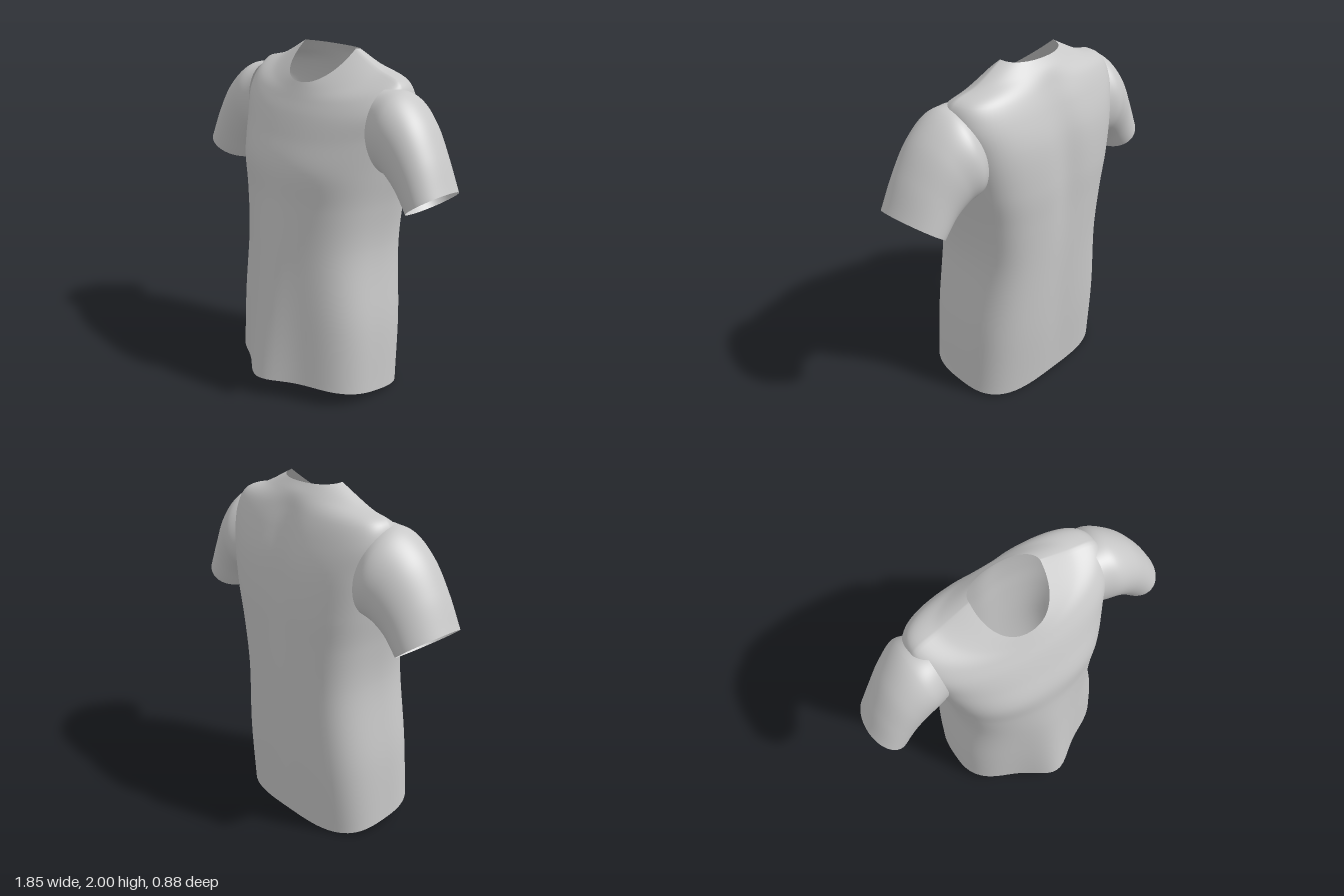
import * as THREE from 'three';

const SEG = 96;

// Smooth surface through closed rings of points, splined lengthwise.
function loft(rings, steps, material, name) {
  const pos = [], idx = [];
  for (let i = 0; i < SEG; i++) {
    const curve = new THREE.CatmullRomCurve3(rings.map((r) => r[i]));
    for (let j = 0; j <= steps; j++) pos.push(...curve.getPoint(j / steps).toArray());
  }
  const row = steps + 1;
  for (let i = 0; i < SEG; i++) {
    for (let j = 0; j < steps; j++) {
      const a = i * row + j, b = ((i + 1) % SEG) * row + j;
      idx.push(a, b, b + 1, a, b + 1, a + 1);
    }
  }
  const geo = new THREE.BufferGeometry();
  geo.setAttribute('position', new THREE.Float32BufferAttribute(pos, 3));
  geo.setIndex(idx);
  geo.computeVertexNormals();
  const mesh = new THREE.Mesh(geo, material);
  mesh.name = name;
  return mesh;
}

function ring(pointAt) {
  return Array.from({ length: SEG }, (_, i) => pointAt((i / SEG) * Math.PI * 2));
}

// Torso ring: rounded outline, fuller at the back, with a draped front ridge and a spine groove.
function torsoRing([w, sideY, sideZ, frontY, frontZ, backY, backZ, power, ridge, groove]) {
  return ring((t) => {
    const s = Math.sin(t), c = Math.cos(t), front = c >= 0;
    const n = front ? power : power + (w > 0.4 ? 0.9 : 0);
    const r = Math.pow(Math.abs(s) ** n + Math.abs(c) ** n, -1 / n);
    const x = w * s * r, k = Math.abs(c) * r;
    const y = sideY + ((front ? frontY : backY) - sideY) * k;
    let z = sideZ + ((front ? frontZ : backZ) - sideZ) * k;
    z += front ? ridge * Math.exp(-((x / 0.17) ** 2)) : groove * Math.exp(-((x / 0.1) ** 2));
    return new THREE.Vector3(x, y, z);
  });
}

// Sleeve ring: ellipse between an upper and a lower point, with a depth in z.
function sleeveRing([topX, topY, lowX, lowY, midZ, halfZ], side) {
  return ring((t) => {
    const c = Math.cos(t), k = (1 + c) / 2;
    return new THREE.Vector3(
      side * (lowX + (topX - lowX) * k),
      lowY + (topY - lowY) * k,
      midZ + 0.03 * c - side * halfZ * Math.sin(t)
    );
  });
}

export function createModel() {
  const fabric = new THREE.MeshStandardMaterial({ color: 0xc8c8c8, side: THREE.DoubleSide });
  fabric.name = 'grey fabric';
  const shirt = new THREE.Group();
  shirt.name = 'tShirt';

  // Body, from the slanted hem over the chest and shoulders to the neckline
  const torso = [
    [0.505, 0.05, -0.02, 0.11, 0.31, 0.0, -0.37, 2.5, 0.13, 0],
    [0.485, 0.45, -0.03, 0.5, 0.3, 0.4, -0.405, 2.5, 0.09, 0.01],
    [0.435, 0.9, -0.06, 0.92, 0.29, 0.88, -0.425, 2.6, 0.05, 0.01],
    [0.455, 1.15, -0.08, 1.18, 0.285, 1.15, -0.435, 2.6, 0.02, 0.02],
    [0.495, 1.36, -0.1, 1.38, 0.285, 1.36, -0.44, 2.5, 0, 0.03],
    [0.54, 1.6, -0.11, 1.54, 0.225, 1.6, -0.42, 2.4, 0, 0.03],
    [0.57, 1.77, -0.11, 1.66, 0.175, 1.75, -0.375, 2.2, 0, 0.02],
    [0.535, 1.86, -0.12, 1.73, 0.14, 1.85, -0.33, 2, 0, 0.01],
    [0.38, 1.91, -0.13, 1.78, 0.115, 1.93, -0.285, 2, 0, 0],
    [0.205, 2.0, -0.13, 1.82, 0.095, 1.985, -0.24, 2.2, 0, 0],
  ];
  shirt.add(loft(torso.map(torsoRing), 72, fabric, 'torso'));

  // Short sleeves, from the armhole to the open cuff
  const sleeve = [
    [0.5, 1.84, 0.46, 1.35, -0.12, 0.19],
    [0.6, 1.825, 0.52, 1.355, -0.125, 0.215],
    [0.73, 1.72, 0.565, 1.335, -0.115, 0.205],
    [0.84, 1.55, 0.63, 1.285, -0.105, 0.19],
    [0.925, 1.365, 0.705, 1.2, -0.1, 0.185],
  ];
  for (const side of [1, -1]) {
    const rings = sleeve.map((r) => sleeveRing(r, side));
    shirt.add(loft(rings, 32, fabric, side > 0 ? 'leftSleeve' : 'rightSleeve'));
  }
  return shirt;
}
